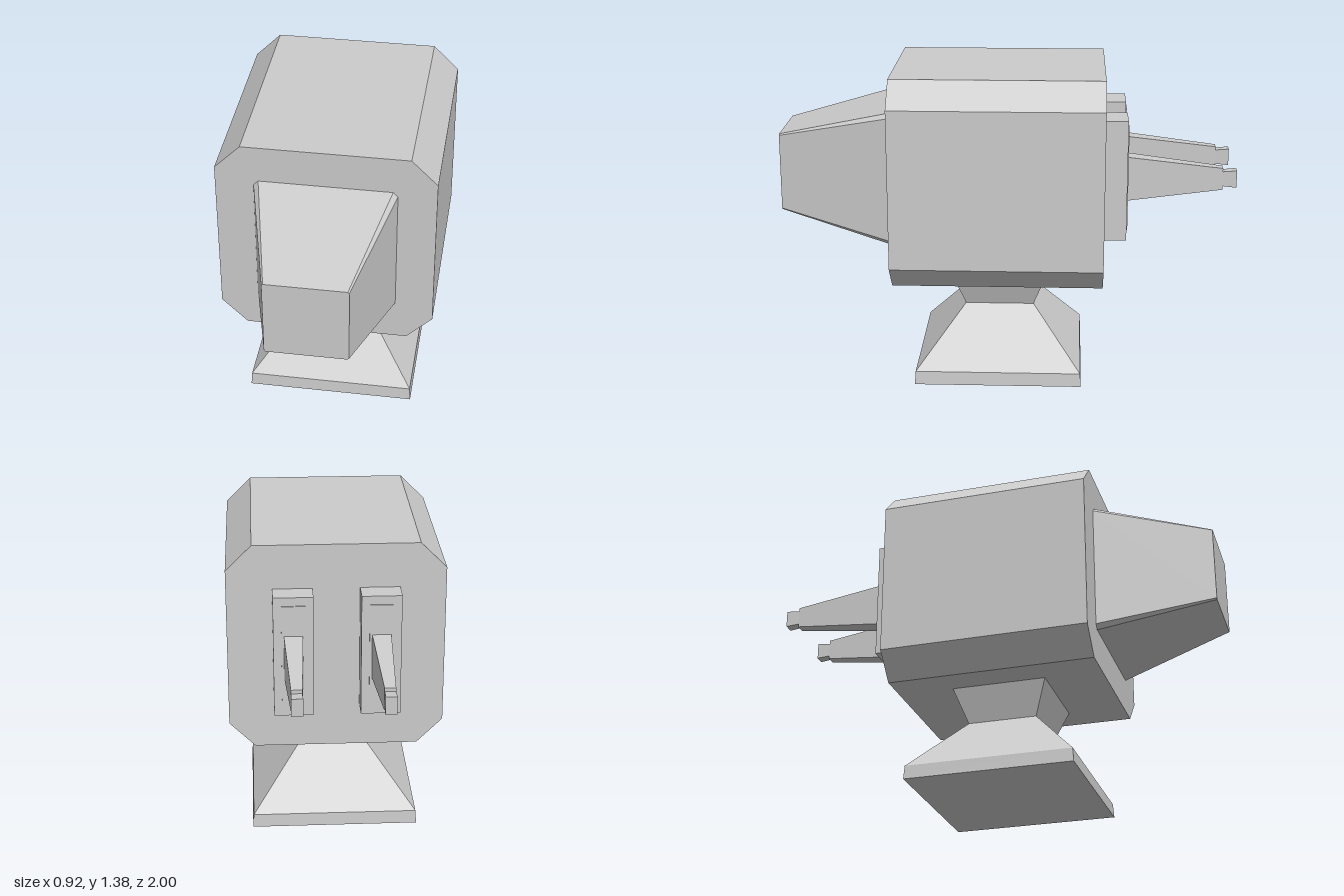
import * as THREE from 'three';

const material = new THREE.MeshStandardMaterial({ color: 0xcccccc, flatShading: true });

// Rectangle with cut corners, counter-clockwise seen from +z
function ring({ x = 0, y = 0, z, w, h, cut = 0 }) {
  const a = w / 2, b = h / 2;
  const pts = cut
    ? [[a, -b + cut], [a, b - cut], [a - cut, b], [-a + cut, b],
       [-a, b - cut], [-a, -b + cut], [-a + cut, -b], [a - cut, -b]]
    : [[a, -b], [a, b], [-a, b], [-a, -b]];
  return pts.map(([px, py]) => [x + px, y + py, z]);
}

// Closed solid through sections ordered by rising z
function loft(name, sections) {
  const rings = sections.map(ring);
  const n = rings[0].length;
  const pos = [];
  for (let k = 0; k < rings.length - 1; k++) {
    const p = rings[k], q = rings[k + 1];
    for (let i = 0; i < n; i++) {
      const j = (i + 1) % n;
      pos.push(...p[i], ...p[j], ...q[j], ...p[i], ...q[j], ...q[i]);
    }
  }
  const first = rings[0], last = rings[rings.length - 1];
  for (let i = 1; i < n - 1; i++) {
    pos.push(...first[0], ...first[i + 1], ...first[i]);
    pos.push(...last[0], ...last[i], ...last[i + 1]);
  }
  const geometry = new THREE.BufferGeometry();
  geometry.setAttribute('position', new THREE.Float32BufferAttribute(pos, 3));
  geometry.computeVertexNormals();
  const mesh = new THREE.Mesh(geometry, material);
  mesh.name = name;
  return mesh;
}

export function createModel() {
  const model = new THREE.Group();
  model.name = 'mountedBox';
  const midY = 0.92;

  // Main housing with chamfered long edges
  model.add(loft('housing', [
    { y: midY, z: -0.425, w: 0.92, h: 0.92, cut: 0.11 },
    { y: midY, z: 0.495, w: 0.92, h: 0.92, cut: 0.11 },
  ]));

  // Tapered front nose
  model.add(loft('nose', [
    { y: midY, z: 0.495, w: 0.597, h: 0.597, cut: 0.02 },
    { y: midY, z: 1, w: 0.345, h: 0.345, cut: 0.006 },
  ]));

  // Pedestal: lofted along z, then stood upright
  const pedestal = loft('pedestal', [
    { y: -0.033, z: 0, w: 0.738, h: 0.738 },
    { y: -0.033, z: 0.06, w: 0.73, h: 0.73 },
    { y: -0.033, z: 0.31, w: 0.305, h: 0.305 },
    { y: -0.033, z: 0.47, w: 0.426, h: 0.426 },
  ]);
  pedestal.rotation.x = -Math.PI / 2;
  model.add(pedestal);

  // Rear plates with prongs
  for (const side of [-1, 1]) {
    const x = side * 0.183;
    const connector = new THREE.Group();
    connector.name = side > 0 ? 'leftConnector' : 'rightConnector';
    connector.add(loft('backPlate', [
      { x, y: midY, z: -0.525, w: 0.168, h: 0.535 },
      { x, y: midY, z: -0.42, w: 0.168, h: 0.535 },
    ]));
    connector.add(loft('plateInset', [
      { x, y: midY, z: -0.53, w: 0.1, h: 0.46 },
      { x, y: midY, z: -0.52, w: 0.1, h: 0.46 },
    ]));
    connector.add(loft('prong', [
      { x, y: midY, z: -0.94, w: 0.046, h: 0.096 },
      { x, y: midY, z: -0.525, w: 0.08, h: 0.196 },
    ]));
    connector.add(loft('prongTip', [
      { x, y: midY, z: -1, w: 0.048, h: 0.076 },
      { x, y: midY, z: -0.935, w: 0.042, h: 0.064 },
    ]));
    model.add(connector);
  }

  return model;
}
